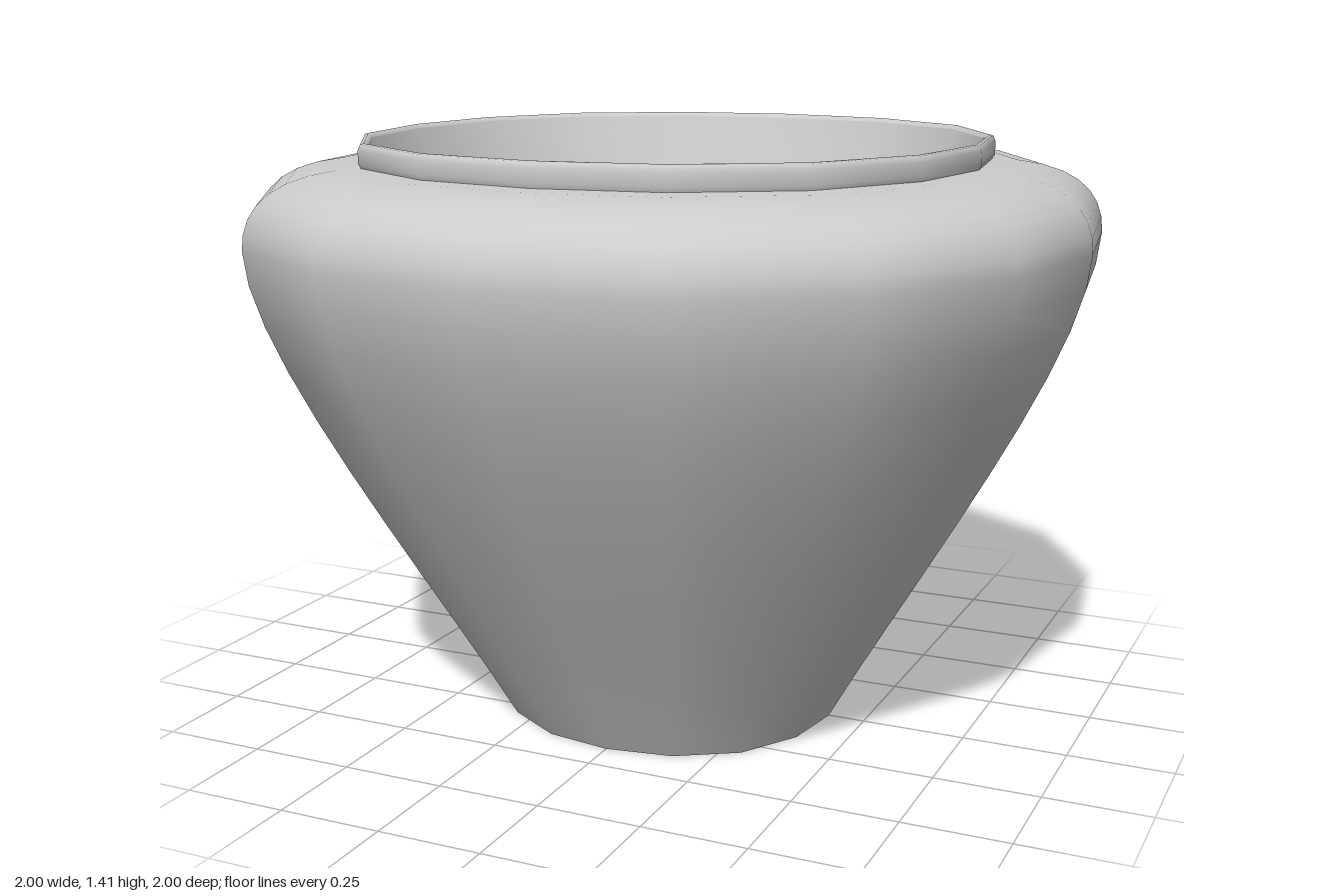
import * as THREE from 'three';
import { mergeVertices } from 'three/addons/utils/BufferGeometryUtils.js';

const SIDES = 16;

// Swell the round plan slightly towards its four diagonals, then smooth across the seam
function swell(geometry) {
  const p = geometry.attributes.position;
  for (let i = 0; i < p.count; i++) {
    const f = 1 + 0.0165 * (1 - Math.cos(4 * Math.atan2(p.getX(i), p.getZ(i))));
    p.setX(i, p.getX(i) * f);
    p.setZ(i, p.getZ(i) * f);
  }
  geometry.deleteAttribute('uv');
  geometry.deleteAttribute('normal');
  const merged = mergeVertices(geometry);
  merged.computeVertexNormals();
  return merged;
}

export function createModel() {
  const group = new THREE.Group();
  const material = new THREE.MeshStandardMaterial({ color: 0xcccccc });
  const v = (r, y) => new THREE.Vector2(r, y);

  const add = (name, geometry) => {
    const mesh = new THREE.Mesh(swell(geometry), material);
    mesh.name = name;
    group.add(mesh);
  };
  const lathe = (name, points) => add(name, new THREE.LatheGeometry(points, SIDES));

  // Tapered outer wall rolling over into a broad rounded shoulder
  const flank = new THREE.CubicBezierCurve(v(0.41, 0), v(0.63, 0.4), v(1, 0.95), v(1, 1.18));
  const shoulder = new THREE.CubicBezierCurve(v(1, 1.18), v(1, 1.28), v(0.93, 1.355), v(0.72, 1.355));
  lathe('outerWall', [...flank.getPoints(10), ...shoulder.getPoints(8).slice(1)]);

  // Thin raised lip around the opening
  lathe('lip', [
    v(0.735, 1.35), v(0.742, 1.365), v(0.742, 1.395), v(0.736, 1.408), v(0.728, 1.41), v(0.72, 1.4),
  ]);

  // Hollow interior, a deep bowl with a rounded bottom
  lathe('innerWall', [
    v(0.72, 1.4), v(0.655, 1.21), v(0.58, 1.01), v(0.52, 0.87), v(0.45, 0.73),
    v(0.38, 0.62), v(0.3, 0.53), v(0.2, 0.45), v(0.1, 0.405), v(0, 0.39),
  ]);

  // Flat underside
  add('base', new THREE.CircleGeometry(0.41, SIDES).rotateX(Math.PI / 2));

  return group;
}
